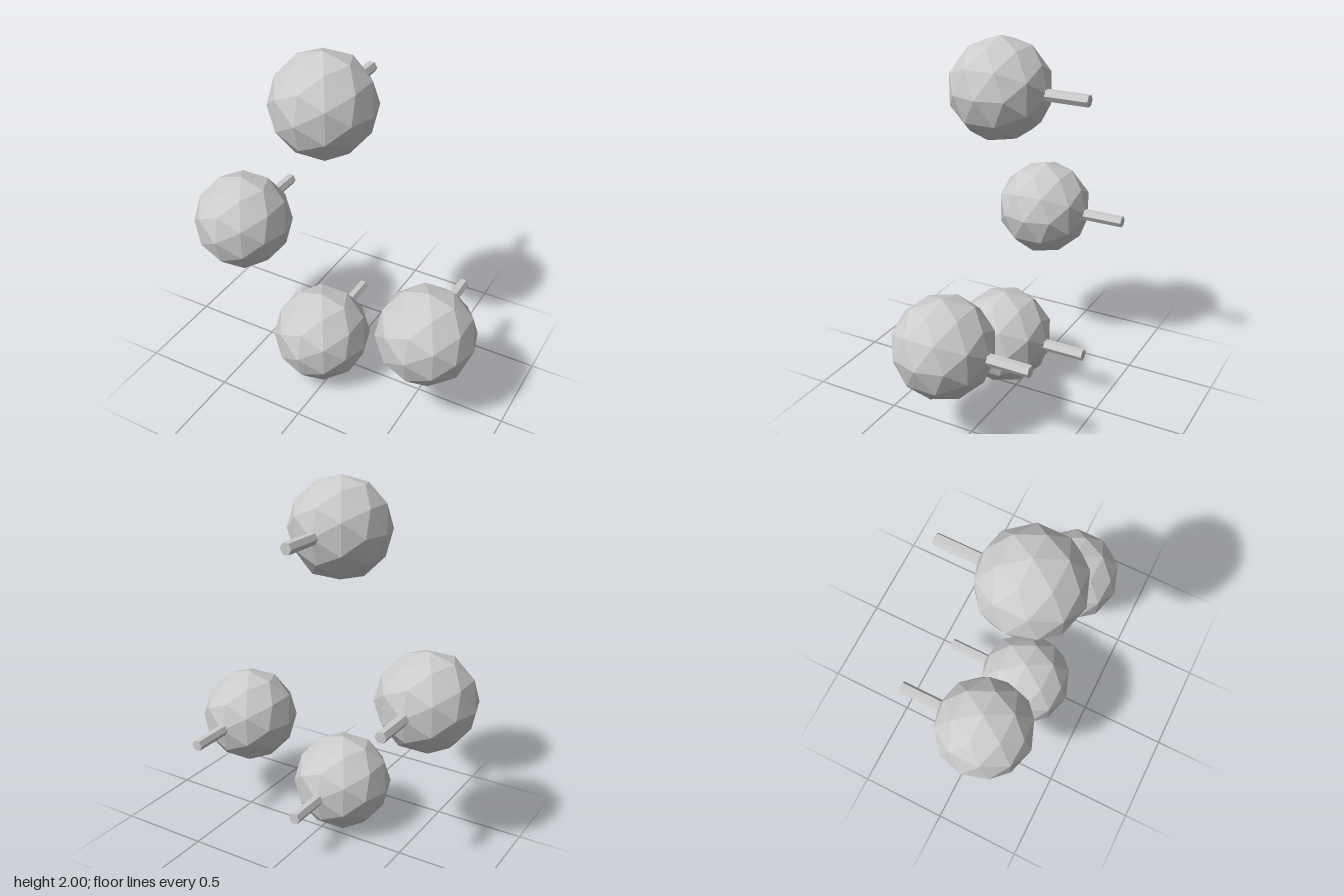
import * as THREE from 'three';

const RADIUS = 0.273;
const ROD_RADIUS = 0.0325;
const CENTRE_Z = 0.111;
const BACK_Z = -0.384;
const ROD_FRONT_Z = -0.1;

// Centre of each knob: name, x, y
const KNOBS = [
  ['topKnob', -0.042, 1.727],
  ['rightKnob', -0.568, 0.887],
  ['leftKnob', 0.568, 0.532],
  ['bottomKnob', -0.07, 0.276],
];

export function createModel() {
  const model = new THREE.Group();
  model.name = 'knobs';

  const grey = new THREE.MeshStandardMaterial({ color: 0xcccccc, flatShading: true });
  grey.name = 'light grey';

  // Faceted ball
  const ballGeometry = new THREE.IcosahedronGeometry(RADIUS, 1);

  // Six-sided rod along z, with flats at top and bottom
  const rodLength = ROD_FRONT_Z - BACK_Z;
  const rodGeometry = new THREE.CylinderGeometry(ROD_RADIUS, ROD_RADIUS, rodLength, 6);
  rodGeometry.rotateY(Math.PI / 6);
  rodGeometry.rotateX(Math.PI / 2);

  for (const [name, x, y] of KNOBS) {
    const knob = new THREE.Group();
    knob.name = name;
    knob.position.set(x, y, 0);

    const ball = new THREE.Mesh(ballGeometry, grey);
    ball.name = 'ball';
    ball.position.z = CENTRE_Z;

    const rod = new THREE.Mesh(rodGeometry, grey);
    rod.name = 'rod';
    rod.position.z = (ROD_FRONT_Z + BACK_Z) / 2;

    knob.add(ball, rod);
    model.add(knob);
  }
  return model;
}
